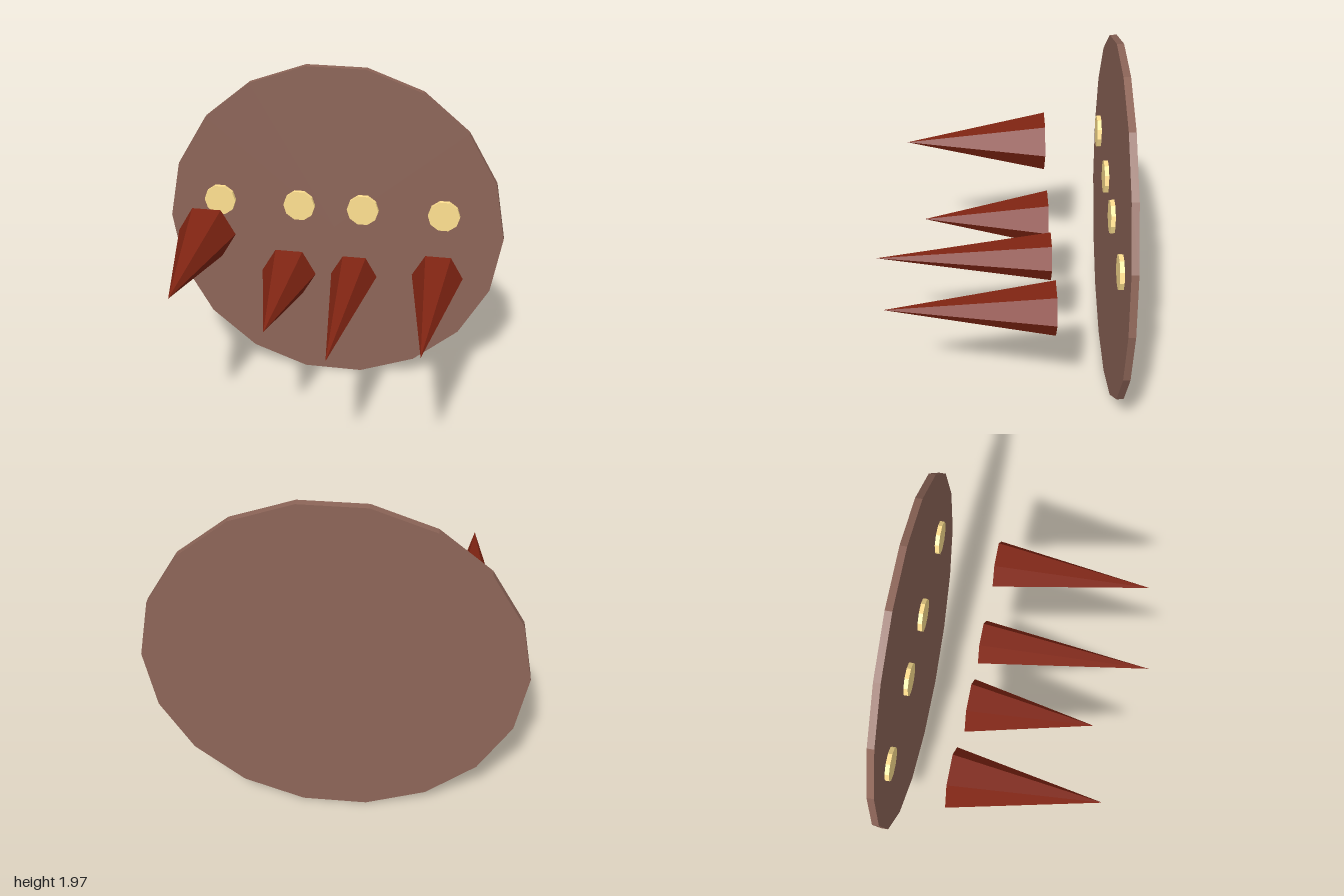
import * as THREE from 'three';

const material = (color) => new THREE.MeshStandardMaterial({ color, flatShading: true });

// Faceted cylinder or cone along z, with a corner on the x axis
function prism(name, rBack, rFront, sides, x, y, zBack, zFront, mat) {
  const geo = new THREE.CylinderGeometry(rFront, rBack, zFront - zBack, sides, 1, false, Math.PI / 2);
  geo.rotateX(Math.PI / 2);
  const mesh = new THREE.Mesh(geo, mat);
  mesh.name = name;
  mesh.position.set(x, y, (zBack + zFront) / 2);
  return mesh;
}

export function createModel() {
  const group = new THREE.Group();
  group.name = 'spikedDisc';
  const brown = material(0x8d6558);
  const cream = material(0xffe090);
  const rust = material(0x7f2412);

  // Upright backing disc
  group.add(prism('backDisc', 1, 1, 18, 0, 0.985, -0.67, -0.632, brown));

  // Floating spikes: x, y, base radius, tip z; each has a stud on the disc
  const spikes = [
    [-0.69, 1.05, 0.168, 0.51],
    [-0.21, 0.835, 0.157, 0.4],
    [0.17, 0.85, 0.132, 0.655],
    [0.648, 0.883, 0.145, 0.59],
  ];
  spikes.forEach(([x, y, r, tip], i) => {
    group.add(prism(`spike${i + 1}`, r, 0, 6, x, y, -0.3, tip, rust));
    group.add(prism(`stud${i + 1}`, 0.094, 0.094, 10, x, 1.115, -0.645, -0.608, cream));
  });
  return group;
}
